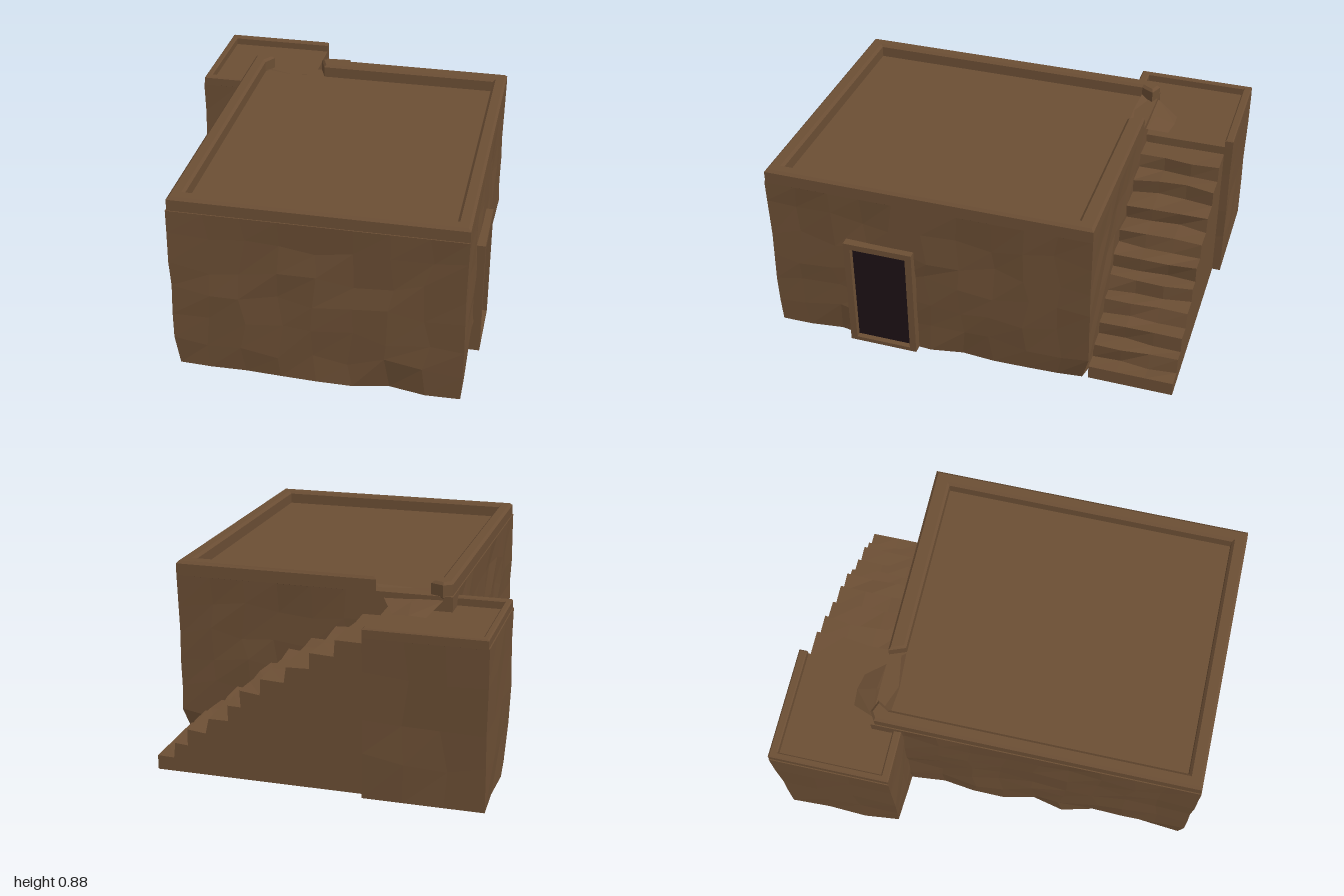
import * as THREE from 'three';

const clay = new THREE.MeshStandardMaterial({ color: 0x6b4e34, flatShading: true, side: THREE.DoubleSide });
const dark = new THREE.MeshStandardMaterial({ color: 0x1c1114 });

// Repeatable value 0..1 for a position, so shared corners move together
function hash(x, y, z) {
  const s = Math.sin(Math.round(x * 500) * 12.99 + Math.round(y * 500) * 78.23 + Math.round(z * 500) * 37.72) * 43758.55;
  return s - Math.floor(s);
}

function add(parent, name, geometry, material = clay) {
  const mesh = new THREE.Mesh(geometry, material);
  mesh.name = name;
  parent.add(mesh);
  return mesh;
}

function box(x0, x1, y0, y1, z0, z1, segs = [1, 1, 1]) {
  return new THREE.BoxGeometry(x1 - x0, y1 - y0, z1 - z0, ...segs)
    .translate((x0 + x1) / 2, (y0 + y1) / 2, (z0 + z1) / 2);
}

// Block with hand-worn mud walls: uneven faces and an eroded foot, true top edge
function wornBlock(x0, x1, h, z0, z1, segs) {
  const g = box(x0, x1, 0, h, z0, z1, segs);
  const p = g.attributes.position;
  const e = 1e-4;
  for (let i = 0; i < p.count; i++) {
    const x = p.getX(i), y = p.getY(i), z = p.getZ(i);
    if (y > h - e) continue;
    const a = hash(x, y, z), b = hash(z, x, y), c = hash(y, z, x);
    const sx = x < x0 + e ? 1 : x > x1 - e ? -1 : 0;
    const sz = z < z0 + e ? 1 : z > z1 - e ? -1 : 0;
    const foot = y < e;
    const inset = foot ? 0.045 * a * a : 0.016 * a - 0.003;
    const corner = sx && sz;
    const k = corner && !foot ? 0.4 : 1;
    const slide = foot ? 0 : 0.05;
    p.setXYZ(i,
      x + sx * inset * k + (sx ? 0 : sz ? (b - 0.5) * slide : 0),
      y + (foot ? 0 : (c - 0.5) * 0.07),
      z + sz * inset * k + (sz ? 0 : sx ? (b - 0.5) * slide : 0));
  }
  g.computeVertexNormals();
  return g;
}

// Low wall following a plan outline of [x, z] points, with softened edges
function parapet(outline, y0, y1, bevel) {
  const shape = new THREE.Shape(outline.map(([x, z]) => new THREE.Vector2(x, -z)));
  return new THREE.ExtrudeGeometry(shape, {
    depth: y1 - y0 - bevel, bevelEnabled: true, bevelThickness: bevel, bevelSize: bevel, bevelOffset: -bevel, bevelSegments: 1,
  }).rotateX(-Math.PI / 2).translate(0, y0, 0);
}

function stairs() {
  // Front edge of every tread, from the ground up
  const edges = [0.73, 0.65, 0.57, 0.48, 0.39, 0.31, 0.22, 0.1, -0.02, -0.13, -0.26];
  const shape = new THREE.Shape();
  shape.moveTo(-0.26, 0);
  shape.lineTo(0.73, 0);
  for (let i = 0; i < 10; i++) {
    const y = 0.068 + i * 0.0715;
    shape.lineTo(edges[i], y);
    shape.lineTo(edges[i + 1], y - 0.004);
  }
  const g = new THREE.ExtrudeGeometry(shape, { depth: 0.4, steps: 3, bevelEnabled: false }).translate(0, 0, -0.96);
  const p = g.attributes.position;
  for (let i = 0; i < p.count; i++) {
    const x = p.getX(i), y = p.getY(i), z = p.getZ(i);
    if (y < 0.02 || x > 0.72 || x < -0.25) continue;
    p.setX(i, x + (hash(x, y, z) - 0.5) * 0.028);
    p.setY(i, y + (hash(z, y, x) - 0.5) * 0.012);
  }
  g.computeVertexNormals();
  return g;
}

// Worn slope joining the landing to the roof, from three cross rows
function passage() {
  const rows = [
    [[-0.46, 0.75, -0.68], [-0.38, 0.757, -0.685], [-0.3, 0.75, -0.67]],
    [[-0.51, 0.80, -0.575], [-0.37, 0.79, -0.59], [-0.24, 0.79, -0.575]],
    [[-0.49, 0.835, -0.49], [-0.35, 0.822, -0.48], [-0.18, 0.83, -0.49]],
  ];
  const g = new THREE.BufferGeometry();
  g.setAttribute('position', new THREE.Float32BufferAttribute(rows.flat(2), 3));
  const index = [];
  for (let r = 0; r < 2; r++) for (let c = 0; c < 2; c++) {
    const a = r * 3 + c, b = a + 3;
    index.push(a, b, a + 1, a + 1, b, b + 1);
  }
  g.setIndex(index);
  g.computeVertexNormals();
  return g;
}

export function createModel() {
  const house = new THREE.Group();
  house.name = 'mudBrickHouse';

  // Main room with sunken flat roof
  add(house, 'mainWalls', wornBlock(-0.555, 0.77, 0.82, -0.57, 0.99, [8, 6, 10]));
  add(house, 'roofParapet', parapet([
    [-0.2, -0.57], [0.77, -0.57], [0.77, 0.985], [-0.55, 0.985], [-0.55, -0.55], [-0.51, -0.575],
    [-0.45, -0.55], [-0.485, -0.49], [-0.485, 0.915], [0.705, 0.915], [0.705, -0.49], [-0.17, -0.49],
  ], 0.815, 0.885, 0.012));

  // Stair landing block with a rim open towards the stairs
  add(house, 'landingBlock', wornBlock(-0.805, -0.255, 0.75, -1, -0.425, [3, 4, 3]));
  add(house, 'landingRim', parapet([
    [-0.255, -1], [-0.255, -0.96], [-0.77, -0.96], [-0.77, -0.465],
    [-0.54, -0.465], [-0.54, -0.425], [-0.8, -0.425], [-0.8, -1],
  ], 0.745, 0.79, 0.006));
  add(house, 'passage', passage());
  add(house, 'stairs', stairs());

  // Doorway in the left wall
  const door = new THREE.Group();
  door.name = 'doorway';
  house.add(door);
  add(door, 'doorOpening', box(0.74, 0.778, 0.01, 0.56, 0.28, 0.595), dark);
  for (const [z0, z1] of [[0.27, 0.302], [0.573, 0.605]]) add(door, 'doorJamb', box(0.74, 0.805, 0, 0.575, z0, z1));
  add(door, 'doorLintel', box(0.74, 0.805, 0.545, 0.575, 0.302, 0.573));
  add(door, 'doorSill', box(0.74, 0.805, 0, 0.02, 0.302, 0.573));

  return house;
}
